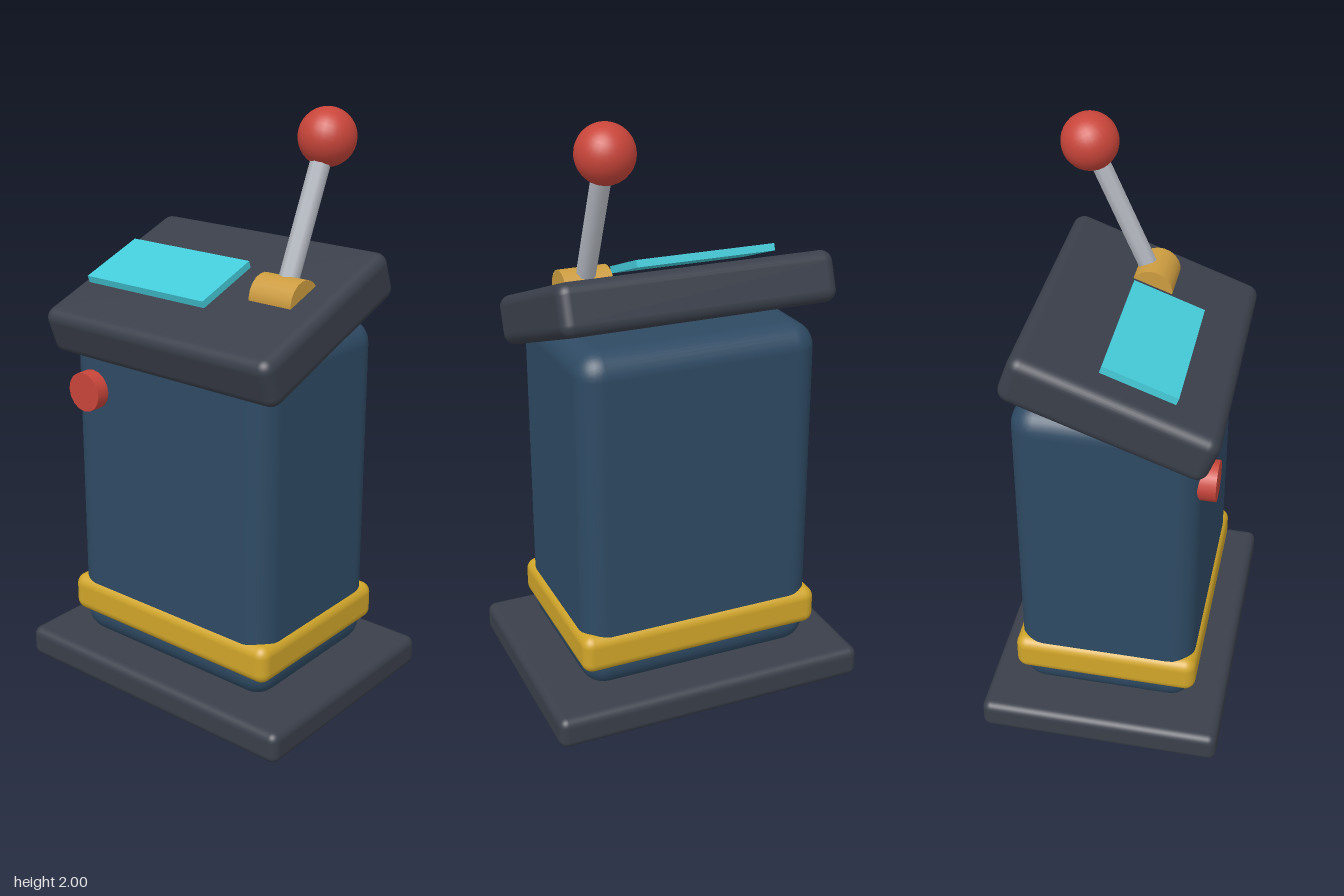
import * as THREE from 'three';
import { RoundedBoxGeometry } from 'three/addons/geometries/RoundedBoxGeometry.js';

const mat = (name, color) => {
  const m = new THREE.MeshStandardMaterial({ color });
  m.name = name;
  return m;
};

export function createModel() {
  const charcoal = mat('charcoal', 0x3a3f4a);
  const navy = mat('navy', 0x2e4a63);
  const yellow = mat('yellow', 0xd0a52a);
  const brass = mat('brass', 0xcc9c40);
  const steel = mat('steel', 0xb4b8c0);
  const red = mat('red', 0xc8453a);
  const cyan = mat('cyan', 0x45cbd9);

  const model = new THREE.Group();
  model.name = 'controlConsole';

  const add = (parent, name, geometry, material, x, y, z) => {
    const mesh = new THREE.Mesh(geometry, material);
    mesh.name = name;
    mesh.position.set(x, y, z);
    parent.add(mesh);
    return mesh;
  };
  const rounded = (w, h, d, r) => new RoundedBoxGeometry(w, h, d, 4, r);

  // Pedestal
  add(model, 'base', rounded(1.12, 0.11, 0.84, 0.03), charcoal, 0, 0.055, 0);
  add(model, 'body', rounded(0.84, 1.2, 0.615, 0.085), navy, 0, 0.71, 0);
  add(model, 'band', rounded(0.87, 0.136, 0.64, 0.038), yellow, 0, 0.26, 0);

  // Round button on the front
  const button = new THREE.CylinderGeometry(0.068, 0.068, 0.07, 16).rotateX(Math.PI / 2);
  add(model, 'button', button, red, -0.31, 1.06, 0.32);

  // Sloping panel with its raised screen
  const panel = new THREE.Group();
  panel.name = 'controlPanel';
  panel.position.set(0, 1.355, 0.029);
  panel.rotation.x = THREE.MathUtils.degToRad(20);
  model.add(panel);
  add(panel, 'panelSlab', rounded(0.95, 0.17, 0.69, 0.04), charcoal, 0, 0, 0);
  add(panel, 'screen', new THREE.BoxGeometry(0.505, 0.025, 0.25), cyan, -0.1425, 0.122, 0.044);

  // Lever: pivot drum, rod leaning back and ball knob
  const lever = new THREE.Group();
  lever.name = 'lever';
  lever.position.set(0.28, 1.42, 0.037);
  lever.rotation.x = THREE.MathUtils.degToRad(-24.2);
  model.add(lever);
  const drum = new THREE.CylinderGeometry(0.074, 0.074, 0.165, 20).rotateZ(Math.PI / 2);
  add(lever, 'pivotDrum', drum, brass, 0, 0, 0);
  const rod = new THREE.CylinderGeometry(0.034, 0.034, 0.5, 8);
  add(lever, 'rod', rod, steel, 0, 0.27, 0);
  add(lever, 'knob', new THREE.SphereGeometry(0.095, 28, 18), red, 0, 0.531, 0);

  return model;
}
